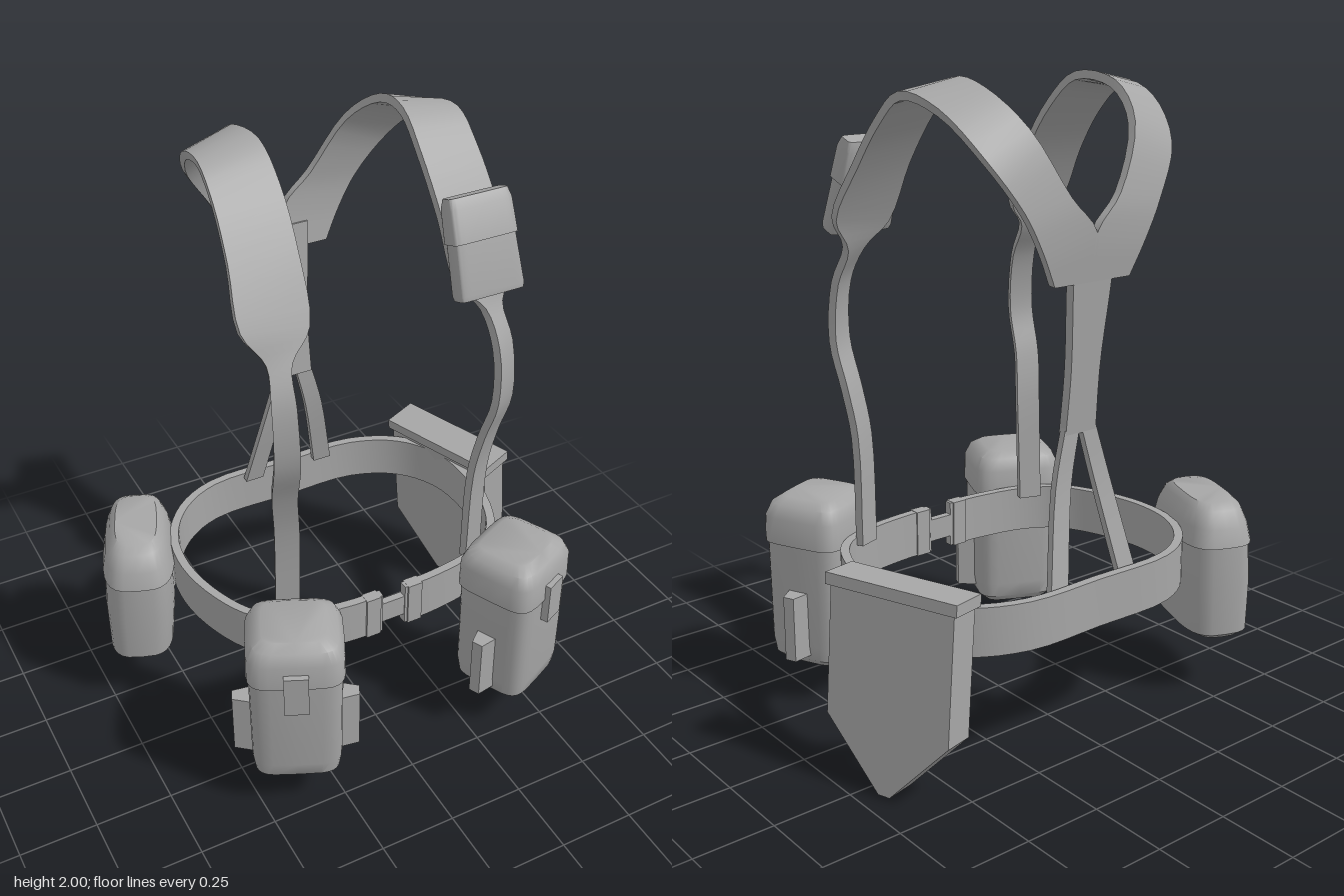
import * as THREE from 'three';
import { toCreasedNormals } from 'three/addons/utils/BufferGeometryUtils.js';

const CX = 0.04; // centre line of the harness
const V = (x, y, z) => new THREE.Vector3(x, y, z);

// Skins a list of equal rings (counter-clockwise about the direction of travel)
function skin(rings, closed = false, crease = 0.65) {
  const m = rings[0].length, n = rings.length, pos = [], idx = [];
  rings.forEach(r => r.forEach(p => pos.push(p.x, p.y, p.z)));
  for (let i = 0; i < (closed ? n : n - 1); i++) {
    for (let j = 0; j < m; j++) {
      const a = i * m + j, b = i * m + (j + 1) % m;
      const k = (i + 1) % n, c = k * m + (j + 1) % m, d = k * m + j;
      idx.push(a, b, c, a, c, d);
    }
  }
  if (!closed) {
    for (let j = 1; j < m - 1; j++) {
      const e = (n - 1) * m;
      idx.push(0, j + 1, j, e, e + j, e + j + 1);
    }
  }
  const g = new THREE.BufferGeometry();
  g.setAttribute('position', new THREE.Float32BufferAttribute(pos, 3));
  g.setIndex(idx);
  return toCreasedNormals(g, crease);
}

// Flat strap stretched between two edge curves
function ribbon(edgeA, edgeB, thick, steps) {
  const a = new THREE.CatmullRomCurve3(edgeA), b = new THREE.CatmullRomCurve3(edgeB);
  const rings = [];
  for (let i = 0; i <= steps; i++) {
    const t = i / steps, A = a.getPoint(t), B = b.getPoint(t);
    const T = a.getTangent(t).add(b.getTangent(t));
    const N = T.cross(B.clone().sub(A)).normalize().multiplyScalar(thick / 2);
    rings.push([A.clone().sub(N), B.clone().sub(N), B.clone().add(N), A.clone().add(N)]);
  }
  return skin(rings);
}

// Rounded-rectangle body from levels [y, half width, half depth, z shift]
function pouchBody(levels, power) {
  const soft = v => Math.sign(v) * Math.pow(Math.abs(v), 2 / power);
  return skin(levels.map(([y, w, d, dz = 0]) => {
    const ring = [];
    for (let j = 0; j < 28; j++) {
      const t = (j / 28) * Math.PI * 2;
      ring.push(V(w * soft(Math.sin(t)), y, dz + d * soft(Math.cos(t))));
    }
    return ring;
  }));
}

export function createModel() {
  const root = new THREE.Group();
  const grey = new THREE.MeshStandardMaterial({ color: 0xa6a6a6 });
  grey.name = 'grey webbing';
  const add = (name, geo, parent = root, x = 0, y = 0, z = 0) => {
    const mesh = new THREE.Mesh(geo, grey);
    mesh.name = name;
    mesh.position.set(x, y, z);
    parent.add(mesh);
    return mesh;
  };
  const box = (w, h, d) => new THREE.BoxGeometry(w, h, d);

  // Waist belt, open at the front where the buckle sits
  const beltPath = [[0.08, 0.27], [0.2, 0.265], [0.36, 0.235], [0.47, 0.17], [0.54, 0.04], [0.57, -0.14],
    [0.55, -0.3], [0.46, -0.43], [0.3, -0.505], [0.04, -0.51], [-0.24, -0.505], [-0.38, -0.43],
    [-0.47, -0.3], [-0.495, -0.14], [-0.46, 0.04], [-0.39, 0.17], [-0.28, 0.235], [-0.12, 0.265], [0, 0.27]];
  add('belt', ribbon(beltPath.map(p => V(p[0], 0.425, p[1])), beltPath.map(p => V(p[0], 0.575, p[1])), 0.028, 72));
  add('buckle', box(0.09, 0.075, 0.025), root, CX, 0.497, 0.268);
  for (const s of [-1, 1]) {
    add('buckleLoop', box(0.05, 0.152, 0.04), root, CX + s * 0.075, 0.5, 0.27);
  }

  // Shoulder straps: inner and outer edge as [offset from centre line, y, z]
  const inner = [[0.3, 0.55, 0.21], [0.3, 0.9, 0.225], [0.315, 1.05, 0.25], [0.325, 1.2, 0.295], [0.325, 1.38, 0.28],
    [0.31, 1.49, 0.22], [0.24, 1.57, 0.185], [0.225, 1.75, 0.095], [0.22, 1.9, -0.02], [0.225, 1.985, -0.13],
    [0.235, 1.97, -0.28], [0.19, 1.87, -0.41], [0.09, 1.69, -0.465], [0.0, 1.59, -0.47], [0.0, 1.45, -0.455]];
  const outer = [[0.37, 0.55, 0.185], [0.37, 0.9, 0.195], [0.385, 1.05, 0.22], [0.395, 1.2, 0.265], [0.39, 1.38, 0.25],
    [0.38, 1.49, 0.2], [0.44, 1.59, 0.165], [0.425, 1.75, 0.07], [0.415, 1.88, -0.03], [0.41, 1.955, -0.13],
    [0.39, 1.92, -0.28], [0.34, 1.8, -0.41], [0.25, 1.66, -0.46], [0.19, 1.55, -0.465], [0.14, 1.45, -0.455]];

  for (const s of [-1, 1]) {
    const side = s > 0 ? 'left' : 'right';
    const at = p => V(CX + s * p[0], p[1], p[2]);
    add(side + 'ShoulderStrap', ribbon(inner.map(at), outer.map(at), 0.026, 56));

    // Diverging rear strap down to the belt
    add(side + 'RearStrap', ribbon(
      [[0, 1.03, -0.415], [0.045, 0.85, -0.43], [0.1, 0.56, -0.485]].map(at),
      [[0.055, 1.03, -0.415], [0.105, 0.85, -0.43], [0.165, 0.56, -0.485]].map(at), 0.022, 8));

    // Front pouch with lid, latch tab and side pockets
    const pouch = new THREE.Group();
    pouch.name = side + 'FrontPouch';
    pouch.position.set(CX + s * 0.395, 0, 0.37);
    pouch.rotation.y = s * 0.43;
    root.add(pouch);
    add('pouchBody', pouchBody([[0.135, 0.11, 0.1], [0.16, 0.135, 0.125], [0.21, 0.142, 0.132],
      [0.56, 0.145, 0.134]], 5), pouch);
    add('pouchLid', pouchBody([[0.545, 0.152, 0.141], [0.63, 0.15, 0.139], [0.67, 0.132, 0.122],
      [0.69, 0.1, 0.092]], 5), pouch);
    add('latchTab', box(0.075, 0.145, 0.03), pouch, 0, 0.53, 0.143);
    for (const e of [-1, 1]) {
      // Side pocket narrows away from the pouch
      const g = box(0.07, 0.215, 0.075), p = g.attributes.position;
      for (let i = 0; i < p.count; i++) {
        if (p.getX(i) * e > 0) p.setZ(i, p.getZ(i) * 0.5);
      }
      g.computeVertexNormals();
      add('sidePocket', g, pouch, e * 0.163, 0.285, 0);
    }
  }

  // Single rear stem joining the shoulder straps
  const stem = s => [[0.075, 1.53, -0.46], [0.07, 1.42, -0.45], [0.055, 1.2, -0.43], [0.058, 1.0, -0.413]]
    .map(p => V(CX + s * p[0], p[1], p[2]));
  add('rearStem', ribbon(stem(-1), stem(1), 0.03, 10));

  // Small pouch on the left shoulder strap
  const small = new THREE.Group();
  small.name = 'shoulderPouch';
  small.position.set(0.36, 1.68, 0.18);
  small.rotation.x = -0.36;
  root.add(small);
  add('shoulderPouchBody', pouchBody([[-0.145, 0.105, 0.03], [-0.13, 0.108, 0.034], [0.05, 0.1, 0.034]], 8), small);
  add('shoulderPouchFlap', pouchBody([[0.02, 0.106, 0.04], [0.12, 0.103, 0.037], [0.15, 0.098, 0.025]], 8), small);

  // Large rounded pouch at the rear right
  const canteen = new THREE.Group();
  canteen.name = 'canteenPouch';
  canteen.position.set(-0.585, 0, -0.335);
  canteen.rotation.y = -1.95;
  root.add(canteen);
  add('canteenBody', pouchBody([[0.205, 0.165, 0.08, 0.015], [0.225, 0.19, 0.108, 0.012], [0.4, 0.204, 0.116, 0.004],
    [0.55, 0.198, 0.11]], 3.4), canteen);
  add('canteenLid', pouchBody([[0.53, 0.206, 0.118], [0.59, 0.192, 0.106], [0.64, 0.162, 0.088],
    [0.66, 0.13, 0.068]], 3.4), canteen);

  // Pointed tool cover at the rear left, leaning outward at the bottom
  const cover = new THREE.Group();
  cover.name = 'toolCover';
  cover.position.set(0.585, 0.62, -0.295);
  cover.rotation.set(-0.095, 1.914, 0, 'YXZ');
  root.add(cover);
  const outline = new THREE.Shape([[-0.21, 0], [-0.21, -0.41], [-0.02, -0.612], [0.02, -0.612], [0.21, -0.41], [0.21, 0]]
    .map(p => new THREE.Vector2(p[0], p[1])));
  const plate = new THREE.ExtrudeGeometry(outline, { depth: 0.105, bevelEnabled: false });
  add('toolCoverBody', plate, cover, 0, 0, -0.0525);
  add('toolCoverFlap', box(0.446, 0.036, 0.125), cover, 0, -0.003, 0);

  return root;
}
